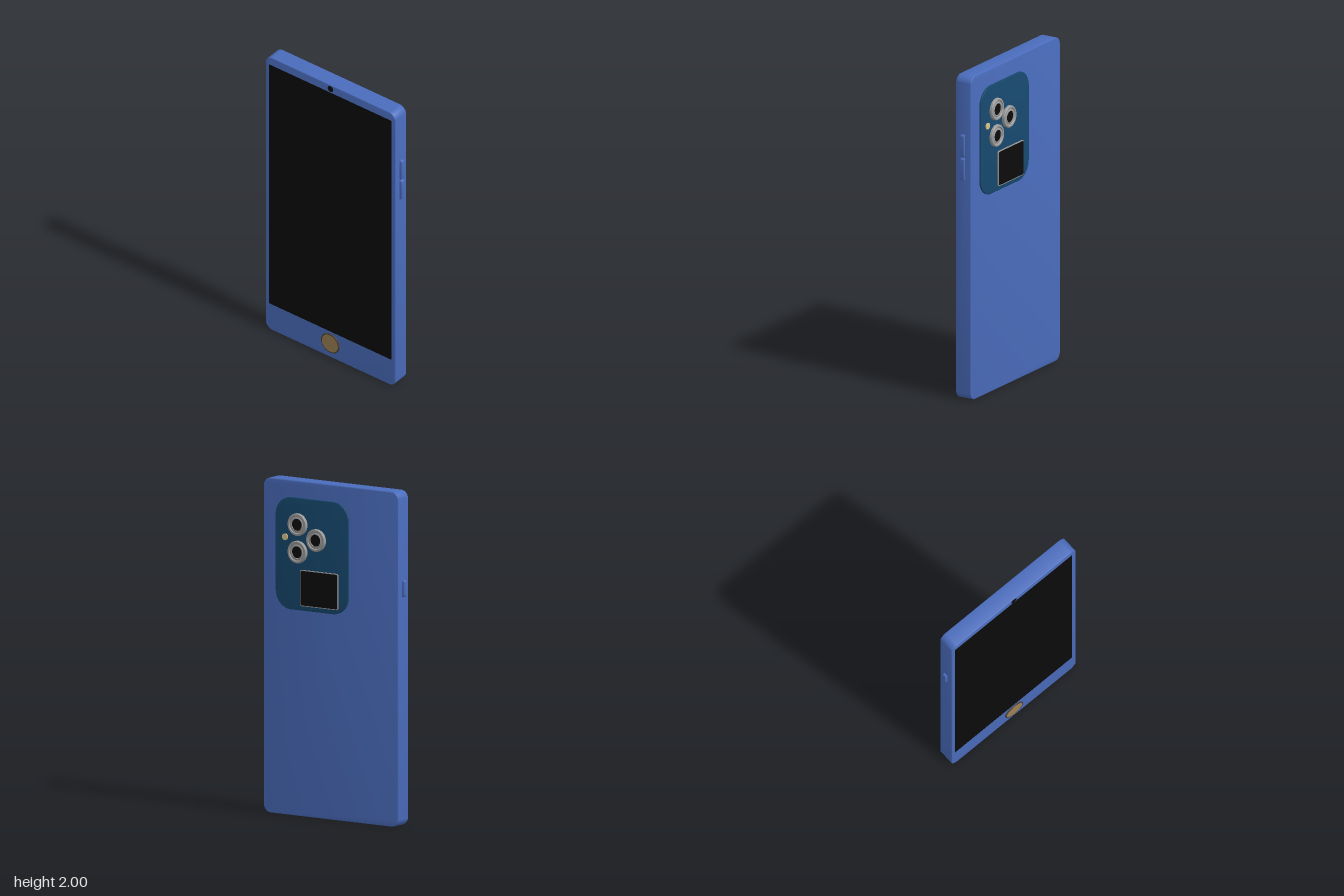
import * as THREE from 'three';
import { toCreasedNormals } from 'three/addons/utils/BufferGeometryUtils.js';

const paint = (color) => new THREE.MeshStandardMaterial({ color });
const blue = paint(0x4a6cbc);
const teal = paint(0x17496f);
const black = paint(0x0b0b0b);
const gold = paint(0x9c8054);
const darkGold = paint(0x4a4038);
const silver = paint(0x9a9a9a);
const cream = paint(0xd9c88c);

function roundedRect(w, h, r) {
  const s = new THREE.Shape();
  const x = w / 2, y = h / 2;
  s.moveTo(-x + r, -y);
  s.lineTo(x - r, -y);
  s.absarc(x - r, -y + r, r, -Math.PI / 2, 0);
  s.lineTo(x, y - r);
  s.absarc(x - r, y - r, r, 0, Math.PI / 2);
  s.lineTo(-x + r, y);
  s.absarc(-x + r, y - r, r, Math.PI / 2, Math.PI);
  s.lineTo(-x, -y + r);
  s.absarc(-x + r, -y + r, r, Math.PI, Math.PI * 1.5);
  return s;
}

// Rounded slab of outer size w x h x d, centred on the origin
function slab(w, h, d, r, bevel = 0) {
  const g = new THREE.ExtrudeGeometry(roundedRect(w - 2 * bevel, h - 2 * bevel, r - bevel), {
    depth: d - 2 * bevel, bevelEnabled: bevel > 0, bevelSize: bevel,
    bevelThickness: bevel, bevelSegments: 3, curveSegments: 8,
  });
  g.translate(0, 0, -d / 2 + bevel);
  return toCreasedNormals(g, 0.6);
}

// Turned part from [radius, height] points
function turned(points, segments = 40) {
  const g = new THREE.LatheGeometry(points.map(([r, y]) => new THREE.Vector2(r, y)), segments);
  return toCreasedNormals(g, 0.5);
}

const disc = (r, h) => [[r, 0], [r, h], [0, h]];

export function createModel() {
  const phone = new THREE.Group();
  phone.name = 'phone';

  function add(name, geometry, material, x, y, z, parent = phone) {
    const mesh = new THREE.Mesh(geometry, material);
    mesh.name = name;
    mesh.position.set(x, y, z);
    parent.add(mesh);
    return mesh;
  }

  // Case and display
  add('body', slab(0.966, 2, 0.105, 0.05, 0.005), blue, 0, 1, 0.0075);
  add('screen', new THREE.BoxGeometry(0.91, 1.755, 0.004), black, -0.002, 1.0675, 0.0595);
  add('frontCamera', turned(disc(0.02, 0.003), 16), black, 0, 1.973, 0.059).rotation.x = Math.PI / 2;

  // Home button with its rim
  const home = new THREE.Group();
  home.name = 'homeButton';
  home.position.set(0, 0.105, 0.059);
  home.rotation.x = Math.PI / 2;
  phone.add(home);
  add('homeRim', turned([[0.068, 0], [0.068, 0.005], [0.065, 0.008], [0.06, 0.008], [0.06, 0.004]]), darkGold, 0, 0, 0, home);
  add('homePad', turned(disc(0.061, 0.007)), gold, 0, 0, 0, home);

  // Side buttons: volume pair on the left, power on the right
  const key = (name, side, y, h) => {
    add(name, slab(0.036, h, 0.025, 0.011, 0.003), blue, side * 0.48, y, 0.007);
  };
  key('volumeUp', 1, 1.573, 0.137);
  key('volumeDown', 1, 1.428, 0.137);
  key('powerButton', -1, 1.42, 0.1);

  // Rear camera plate
  const back = -0.055;
  add('cameraPlate', slab(0.52, 0.67, 0.014, 0.11, 0.002), teal, 0.13, 1.565, back + 0.007);

  // Three lenses, each a ring around dark glass
  const ring = turned([[0.067, 0], [0.067, 0.013], [0.063, 0.018], [0.054, 0.018],
    [0.05, 0.013], [0.045, 0.013], [0.04, 0.016], [0.036, 0.016], [0.036, 0.006]]);
  const glass = turned(disc(0.037, 0.011));
  for (const [x, y] of [[0.228, 1.742], [0.228, 1.578], [0.095, 1.66]]) {
    const lens = new THREE.Group();
    lens.name = 'rearLens';
    lens.position.set(x, y, back);
    lens.rotation.x = -Math.PI / 2;
    phone.add(lens);
    add('lensRing', ring, silver, 0, 0, 0, lens);
    add('lensGlass', glass, black, 0, 0, 0, lens);
  }
  add('flash', turned(disc(0.02, 0.007), 20), cream, 0.32, 1.66, back).rotation.x = -Math.PI / 2;

  // Small rear display in a thin frame
  add('rearDisplayFrame', slab(0.272, 0.216, 0.009, 0.012), silver, 0.074, 1.366, back - 0.003);
  add('rearDisplay', slab(0.262, 0.206, 0.009, 0.009), black, 0.074, 1.366, back - 0.004);

  // Charging port and speaker slots on the bottom edge
  const opening = (name, x, w, d) => {
    add(name, slab(w, d, 0.004, Math.min(w, d) * 0.48), black, x, 0.001, 0.007).rotation.x = Math.PI / 2;
  };
  opening('chargingPort', 0, 0.11, 0.034);
  for (let i = 0; i < 6; i++) opening('speakerSlot', 0.15 + i * 0.027, 0.016, 0.03);

  return phone;
}
